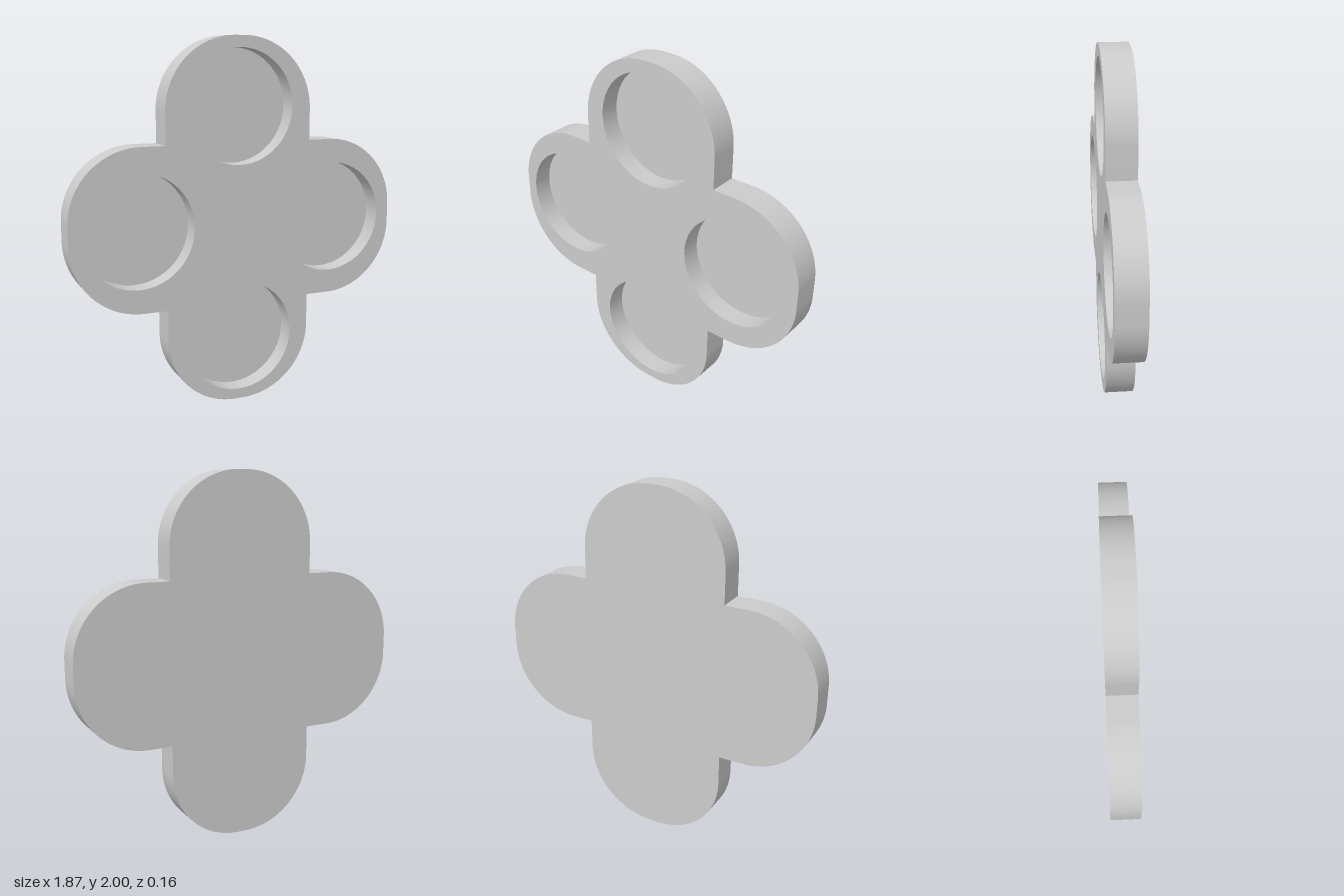
import * as THREE from 'three';
import { toCreasedNormals } from 'three/addons/utils/BufferGeometryUtils.js';

const BACK = -0.079, FRONT = 0.079, FLOOR = -0.03; // z levels
const POCKET_R = 0.309;
const POCKETS = [[0, 1.63], [0.553, 1], [0, 0.365], [-0.568, 1]];

// Two crossed rounded slabs merged into one counter-clockwise outline
function plateShape() {
  const a = 0.415, h = 0.44, w = 0.935, r = 0.39;
  const shape = new THREE.Shape();
  shape.moveTo(a, 1 - h);
  for (const s of [1, -1]) { // second half is the first turned by 180 degrees
    const corner = (x, y, quarter) => {
      const start = (quarter + (s < 0 ? 2 : 0)) * Math.PI / 2;
      shape.absarc(s * x, 1 + s * y, r, start, start + Math.PI / 2, false);
    };
    shape.lineTo(s * a, 1 - s * h);
    corner(w - r, -(h - r), -1);
    corner(w - r, h - r, 0);
    shape.lineTo(s * a, 1 + s * h);
    corner(a - r, 1 - r, 0);
    corner(-(a - r), 1 - r, 1);
  }
  shape.closePath();
  return shape;
}

// Band along a closed path: faces outwards if counter-clockwise, inwards if clockwise
function wall(points, z0, z1) {
  const pos = [];
  points.forEach((p, i) => {
    const q = points[(i + 1) % points.length];
    if (p.distanceTo(q) < 1e-5) return;
    pos.push(p.x, p.y, z0, q.x, q.y, z0, q.x, q.y, z1);
    pos.push(p.x, p.y, z0, q.x, q.y, z1, p.x, p.y, z1);
  });
  const geo = new THREE.BufferGeometry();
  geo.setAttribute('position', new THREE.Float32BufferAttribute(pos, 3));
  return toCreasedNormals(geo, 0.5);
}

export function createModel() {
  const group = new THREE.Group();
  group.name = 'fourPocketTray';
  const mat = new THREE.MeshStandardMaterial({ color: 0xcccccc });
  const add = (name, geo) => {
    const mesh = new THREE.Mesh(geo, mat);
    mesh.name = name;
    group.add(mesh);
    return mesh;
  };

  // Back face and outer rim
  const outline = plateShape();
  add('backFace', new THREE.ShapeGeometry(outline, 24).rotateY(Math.PI).translate(0, 0, BACK));
  add('rim', wall(outline.getPoints(24), BACK, FRONT));

  // Front face pierced by the pockets
  const face = plateShape();
  POCKETS.forEach(([x, y]) => {
    const hole = new THREE.Path().absarc(x, y, POCKET_R, 0, Math.PI * 2, true);
    face.holes.push(hole);
    add('pocketWall', wall(hole.getPoints(24), FLOOR, FRONT));
    add('pocketFloor', new THREE.CircleGeometry(POCKET_R, 48).translate(x, y, FLOOR));
  });
  add('frontFace', new THREE.ShapeGeometry(face, 24).translate(0, 0, FRONT));

  return group;
}
